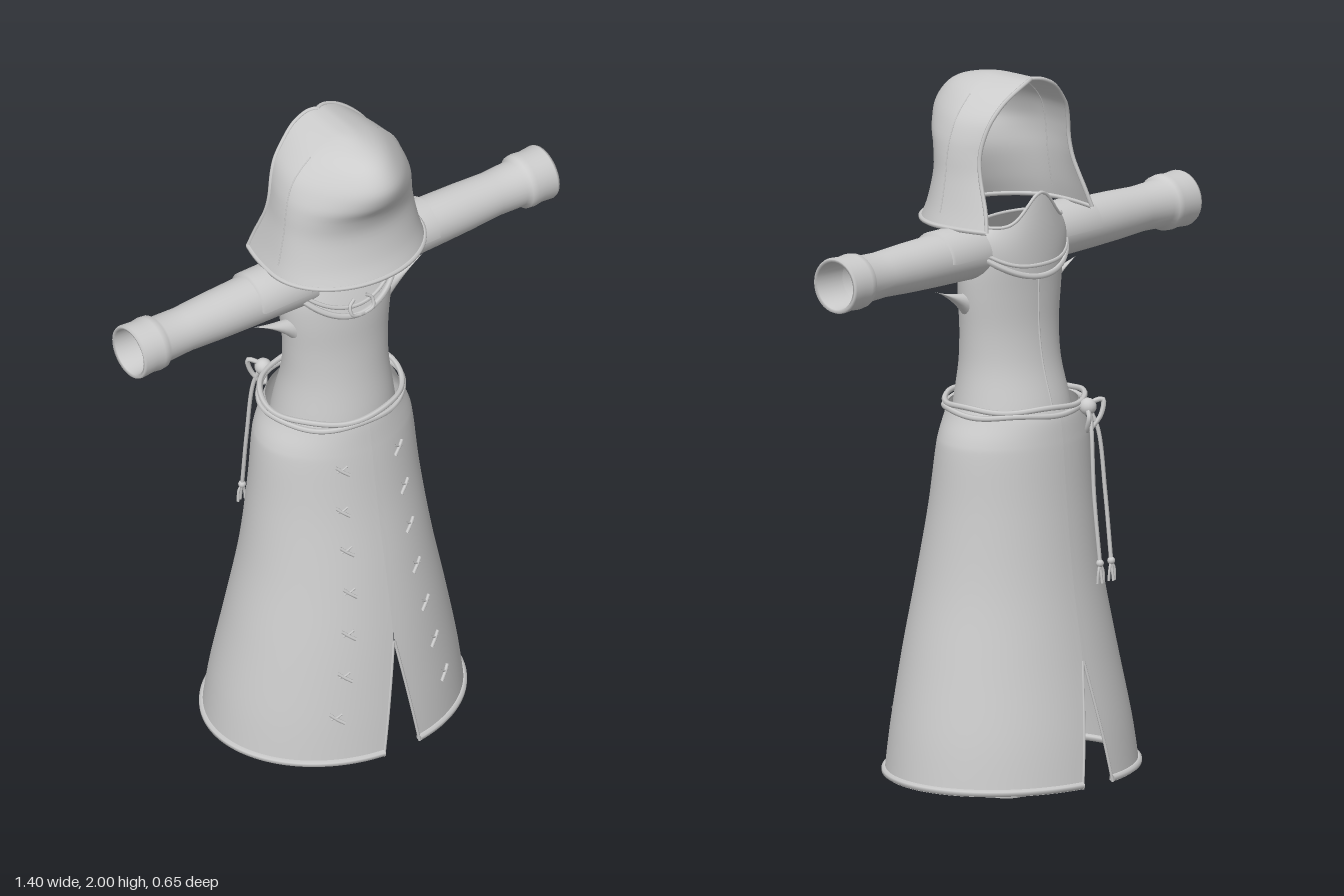
import * as THREE from 'three';
import { mergeVertices } from 'three/addons/utils/BufferGeometryUtils.js';

const cloth = new THREE.MeshStandardMaterial({ color: 0xcccccc, side: THREE.DoubleSide });
cloth.name = 'pale grey cloth';

const mix = (a, b, t) => a + (b - a) * t;

// Smooth interpolation through table rows, t in 0..1
function profile(rows) {
  return (t) => {
    const f = Math.min(Math.max(t, 0), 1) * (rows.length - 1);
    const i = Math.min(Math.floor(f), rows.length - 2), k = f - i;
    const at = (j) => rows[Math.min(Math.max(j, 0), rows.length - 1)];
    const [a, b, c, d] = [at(i - 1), at(i), at(i + 1), at(i + 2)];
    return b.map((_, n) => b[n] + 0.5 * k * (c[n] - a[n]
      + k * (2 * a[n] - 5 * b[n] + 4 * c[n] - d[n] + k * (3 * (b[n] - c[n]) + d[n] - a[n]))));
  };
}

// Grid surface from a rule f(u, v) -> [x, y, z]
function surface(f, nu, nv) {
  const pos = [], idx = [];
  for (let j = 0; j <= nv; j++) for (let i = 0; i <= nu; i++) pos.push(...f(i / nu, j / nv));
  for (let j = 0; j < nv; j++) for (let i = 0; i < nu; i++) {
    const a = j * (nu + 1) + i, b = a + nu + 1;
    idx.push(a, a + 1, b + 1, a, b + 1, b);
  }
  let g = new THREE.BufferGeometry();
  g.setAttribute('position', new THREE.Float32BufferAttribute(pos, 3));
  g.setIndex(idx);
  g = mergeVertices(g, 1e-5);
  g.computeVertexNormals();
  return g;
}

// Oval section from a row [y, half width, front z, back z]; angle 0 is the front
const oval = ([y, w, zf, zb], a) =>
  [w * Math.sin(a), y, (zf + zb) / 2 + (zf - zb) / 2 * Math.cos(a)];

const skirtAt = profile([
  [0.06, 0.375, 0.322, -0.32], [0.2, 0.355, 0.308, -0.3], [0.4, 0.315, 0.282, -0.262],
  [0.6, 0.275, 0.248, -0.228], [0.8, 0.249, 0.21, -0.205], [0.96, 0.236, 0.186, -0.192],
  [1.01, 0.226, 0.178, -0.187], [1.06, 0.203, 0.17, -0.18], [1.09, 0.19, 0.163, -0.17]]);

const torsoAt = profile([
  [1.05, 0.178, 0.155, -0.155], [1.1, 0.17, 0.15, -0.145], [1.2, 0.157, 0.133, -0.115],
  [1.3, 0.16, 0.122, -0.1], [1.4, 0.172, 0.118, -0.098], [1.48, 0.176, 0.108, -0.1],
  [1.55, 0.165, 0.08, -0.1], [1.6, 0.14, 0.05, -0.1]]);

// Rows: y, half width, back bulge z, opening edge z
const hoodAt = profile([
  [1.607, 0.236, 0.238, -0.1], [1.66, 0.222, 0.215, -0.085], [1.74, 0.207, 0.198, -0.055],
  [1.8, 0.2, 0.21, -0.045], [1.85, 0.19, 0.24, -0.05], [1.9, 0.168, 0.25, -0.06],
  [1.945, 0.125, 0.225, -0.07], [1.975, 0.08, 0.18, -0.08], [1.994, 0.03, 0.1, -0.08],
  [1.997, 0, 0.05, -0.07]]);

// Horseshoe section, s from -1 to 1 between the two opening edges
function hoodPoint(s, t) {
  const [y, w, zb, zf] = hoodAt(t), k = Math.max(0, (Math.abs(s) - 0.65) / 0.35);
  if (k > 0) return [Math.sign(s) * w * (1 - 0.1 * k * k), y, mix(0.05, zf, k)];
  const a = s / 0.65 * Math.PI / 2;
  const p = 1 + 0.6 * Math.exp(-(((y - 1.91) / 0.07) ** 2));
  return [w * Math.sin(a), y, 0.05 + (zb - 0.05) * Math.pow(Math.max(0, Math.cos(a)), p)];
}

export function createModel() {
  const model = new THREE.Group();
  const add = (name, geo, parent = model) => {
    const m = new THREE.Mesh(geo, cloth);
    m.name = name;
    parent.add(m);
    return m;
  };
  const tube = (name, pts, r, closed = false, n = 48, parent = model) => add(name,
    new THREE.TubeGeometry(new THREE.CatmullRomCurve3(
      pts.map((p) => new THREE.Vector3(...p)), closed), n, r, 6, closed), parent);
  const steps = (n, f) => Array.from({ length: n + 1 }, (_, i) => f(i / n));

  // Hood with hemmed edges
  add('hood', surface((u, v) => hoodPoint(u * 2 - 1, v), 56, 36));
  tube('hoodHem', steps(32, (u) => hoodPoint(u * 2 - 1, 0)), 0.007, false, 80);
  for (const s of [-1, 1]) {
    tube('hoodOpeningEdge', steps(18, (v) => hoodPoint(s, v)), 0.006);
    tube('hoodSideSeam', steps(10, (v) => hoodPoint(s * 0.63, mix(0.08, 0.7, v))), 0.002);
  }

  // Torso and back seam
  add('torso', surface((u, v) => oval(torsoAt(v), u * Math.PI * 2), 48, 28));
  tube('backSeam', steps(12, (v) => oval(torsoAt(mix(0.1, 0.95, v)), Math.PI)), 0.003);

  // Draped cowl: hem dips front and back, collar peaks at the back
  const cowlPoint = (a, v) => {
    const c = Math.cos(a), dip = Math.pow(Math.abs(c), 1.5);
    const hemY = 1.545 - (c > 0 ? 0.12 : 0.09) * dip;
    const peak = c < 0 ? 0.085 * Math.pow(-c, 8) : 0;
    const low = oval([hemY, 0.183, 0.132, -0.115], a);
    const high = oval([1.6 + peak, 0.142, 0.05, -0.106], a);
    const out = 1 + 0.05 * Math.sin(v * Math.PI);
    return [mix(low[0], high[0], v) * out, mix(low[1], high[1], v), mix(low[2], high[2], v) * out];
  };
  add('cowl', surface((u, v) => cowlPoint(u * Math.PI * 2, v), 56, 8));
  const ring = (v) => steps(39, (u) => cowlPoint(u * Math.PI * 2 * 39 / 40, v));
  tube('cowlHem', ring(0), 0.009, true, 100);
  tube('cowlFold', ring(0.14), 0.006, true, 100);
  tube('collarEdge', ring(1), 0.005, true, 100);

  for (const s of [-1, 1]) {
    // Clasp curls on the cowl
    tube('claspCurl', [[s * 0.008, 1.425, 0.138], [s * 0.035, 1.435, 0.138],
      [s * 0.037, 1.46, 0.13], [s * 0.02, 1.475, 0.125]], 0.005, false, 16);

    // Hollow sleeve with a rolled cuff
    const sleeve = new THREE.Group();
    sleeve.name = 'sleeve';
    sleeve.position.set(0, 1.527, 0.015);
    sleeve.rotation.z = -s * Math.PI / 2;
    model.add(sleeve);
    const lathe = (pts, ...arc) =>
      new THREE.LatheGeometry(pts.map(([r, y]) => new THREE.Vector2(r, y)), ...arc);
    add('sleeveTube', lathe([[0.076, 0.11], [0.073, 0.22], [0.071, 0.32], [0.068, 0.42],
      [0.063, 0.52], [0.066, 0.6], [0.076, 0.612], [0.078, 0.63], [0.075, 0.655],
      [0.078, 0.692], [0.075, 0.7], [0.066, 0.697], [0.062, 0.6]], 32), sleeve);
    add('shoulderPatch', lathe([[0.072, 0.13], [0.08, 0.14], [0.08, 0.295], [0.07, 0.3]],
      18, s > 0 ? Math.PI : 0, Math.PI), sleeve);

    // Pointed cloth fold under the arm
    add('underarmPoint', surface((u, v) => {
      const a = u * Math.PI * 2, r = 1 - v;
      return [s * mix(0.135, 0.285, v), mix(1.355, 1.436, Math.pow(v, 0.7)) + 0.045 * r * r * Math.sin(a),
        0.025 + 0.03 * r * Math.cos(a)];
    }, 16, 10));

    // Skirt panel, parted below the slit points
    const skirtPoint = (u, v) => {
      const row = skirtAt(v);
      const gap = Math.max(0, 0.41 - row[0]) / 0.35 * 0.06;
      const a = Math.asin(gap / row[1]);
      const p = oval(row, mix(a, Math.PI - a, u));
      return [s * p[0], p[1], p[2]];
    };
    add('skirtPanel', surface(skirtPoint, 40, 48));
    tube('skirtHem', steps(24, (u) => skirtPoint(u, 0.015)), 0.01, false, 64);
    for (const u of [0, 1]) {
      tube('slitEdge', steps(10, (v) => skirtPoint(u, v * 0.25)), 0.004, false, 24);
    }

    // Toggle fastenings down the front
    [[0.095, 0.955], [0.105, 0.83], [0.107, 0.71], [0.113, 0.585], [0.13, 0.46],
      [0.152, 0.335], [0.182, 0.21]].forEach(([x, y]) => {
      let lo = 0, hi = 1;
      for (let i = 0; i < 20; i++) {
        const m = (lo + hi) / 2;
        if (skirtAt(m)[0] < y) lo = m; else hi = m;
      }
      const row = skirtAt(lo);
      const on = (dx, dy) => {
        const p = oval(row, Math.asin((x + dx) / row[1]));
        return [s * p[0], y + dy, p[2] + 0.004 - dy * 0.15];
      };
      tube('toggle', [on(-0.018, -0.017), on(0, -0.003), on(0.016, 0.012)], 0.005, false, 6);
      tube('toggleLoop', [on(-0.014, 0.012), on(0, 0.002), on(0.014, -0.002)], 0.003, false, 6);
    });

    // Open leg with a thick rim
    const leg = add('leg', lathe([[0.043, 0.06], [0.046, 0], [0.054, 0.002], [0.055, 0.04],
      [0.05, 0.07], [0.052, 0.3], [0.06, 0.6], [0.065, 0.9]], 24));
    leg.position.set(s * 0.062, 0, -0.036);
  }

  // Twin rope belt
  [[1.1, 0.2, 0], [1.083, 0.205, 1]].forEach(([y, w, k]) => tube('beltRope', steps(31, (u) => {
    const a = u * Math.PI * 2 * 31 / 32;
    const p = oval([y, w, 0.173, -0.192], a);
    p[1] += 0.004 * Math.sin(a * 5 + k * 2);
    return p;
  }), 0.008, true, 96));

  // Knot, bow loop and hanging tasselled cords
  const knot = add('beltKnot', new THREE.SphereGeometry(0.024, 16, 12));
  knot.position.set(-0.09, 1.085, -0.197);
  tube('knotLoop', [[-0.09, 1.09, -0.2], [-0.12, 1.105, -0.225], [-0.11, 1.06, -0.225],
    [-0.08, 1.02, -0.205], [-0.07, 1.06, -0.22]], 0.007, true, 32);
  for (const x of [-0.115, -0.07]) {
    tube('hangingCord', [[-0.09, 1.08, -0.205], [mix(x, -0.09, 0.4), 1.02, -0.222],
      [x, 0.85, -0.238], [x, 0.66, -0.26]], 0.006, false, 32);
    const bead = add('tasselBead', new THREE.SphereGeometry(0.011, 10, 8));
    bead.position.set(x, 0.66, -0.26);
    for (const d of [-1, 0, 1]) {
      tube('tasselStrand', [[x, 0.66, -0.26], [x + d * 0.009, 0.64, -0.263],
        [x + d * 0.012, 0.605, -0.262 - 0.006 * (d === 0)]], 0.004, false, 8);
    }
  }
  return model;
}
